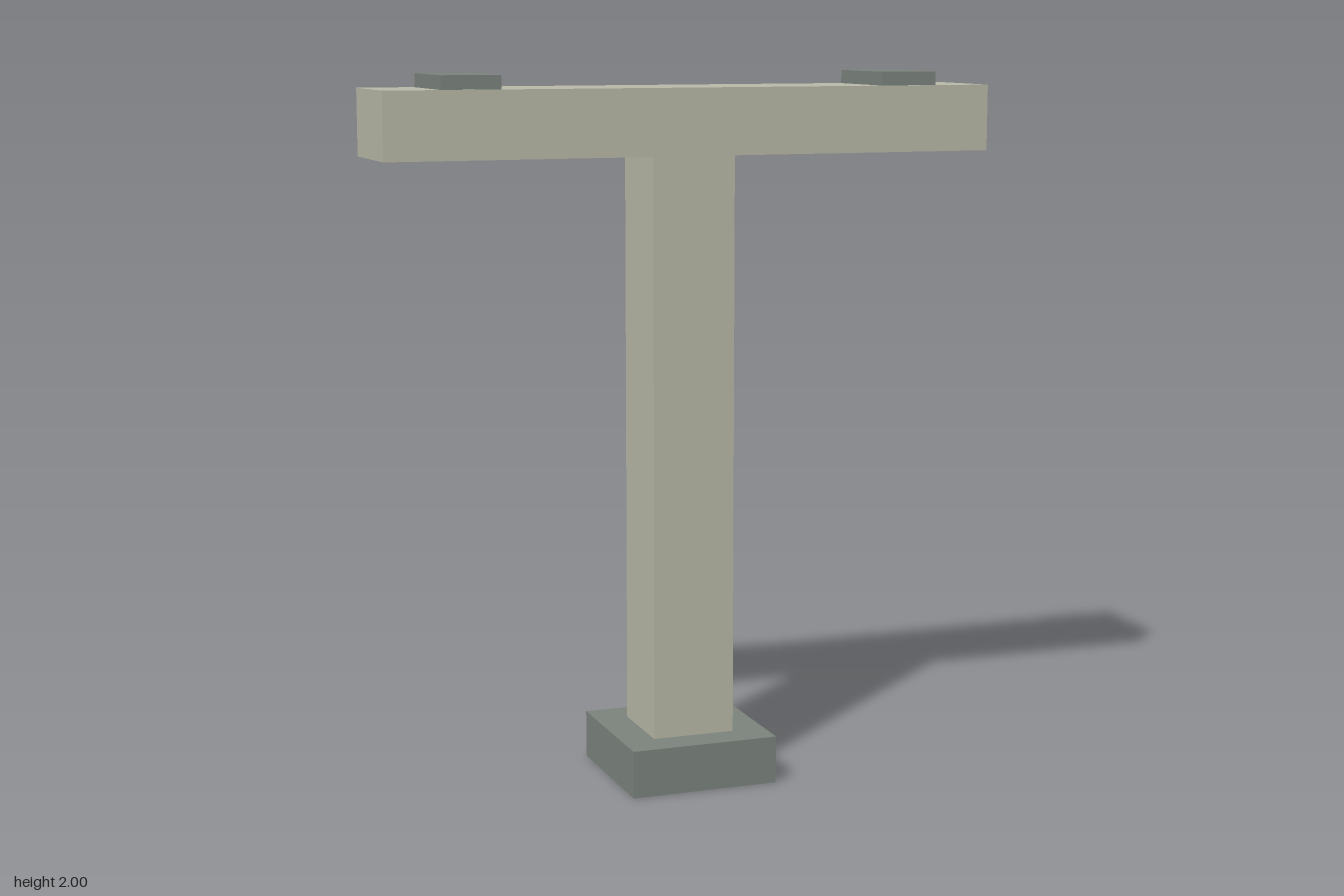
import * as THREE from 'three';

export function createModel() {
  const group = new THREE.Group();
  const concrete = new THREE.MeshStandardMaterial({ color: 0xbabaaa });
  concrete.name = 'paleConcrete';
  const stone = new THREE.MeshStandardMaterial({ color: 0x7d857e });
  stone.name = 'darkConcrete';

  // Box standing on height y0 and reaching y1
  function block(name, material, width, depth, y0, y1, x = 0) {
    const mesh = new THREE.Mesh(new THREE.BoxGeometry(width, y1 - y0, depth), material);
    mesh.position.set(x, (y0 + y1) / 2, 0);
    mesh.name = name;
    group.add(mesh);
  }

  // Footing, column and cross beam
  block('footing', stone, 0.428, 0.428, 0, 0.135);
  block('column', concrete, 0.238, 0.238, 0.135, 1.777);
  block('crossBeam', concrete, 1.75, 0.302, 1.777, 1.962);

  // Bearing pads on the beam
  block('leftBearingPad', stone, 0.165, 0.28, 1.962, 2, 0.633);
  block('rightBearingPad', stone, 0.165, 0.28, 1.962, 2, -0.633);

  return group;
}
